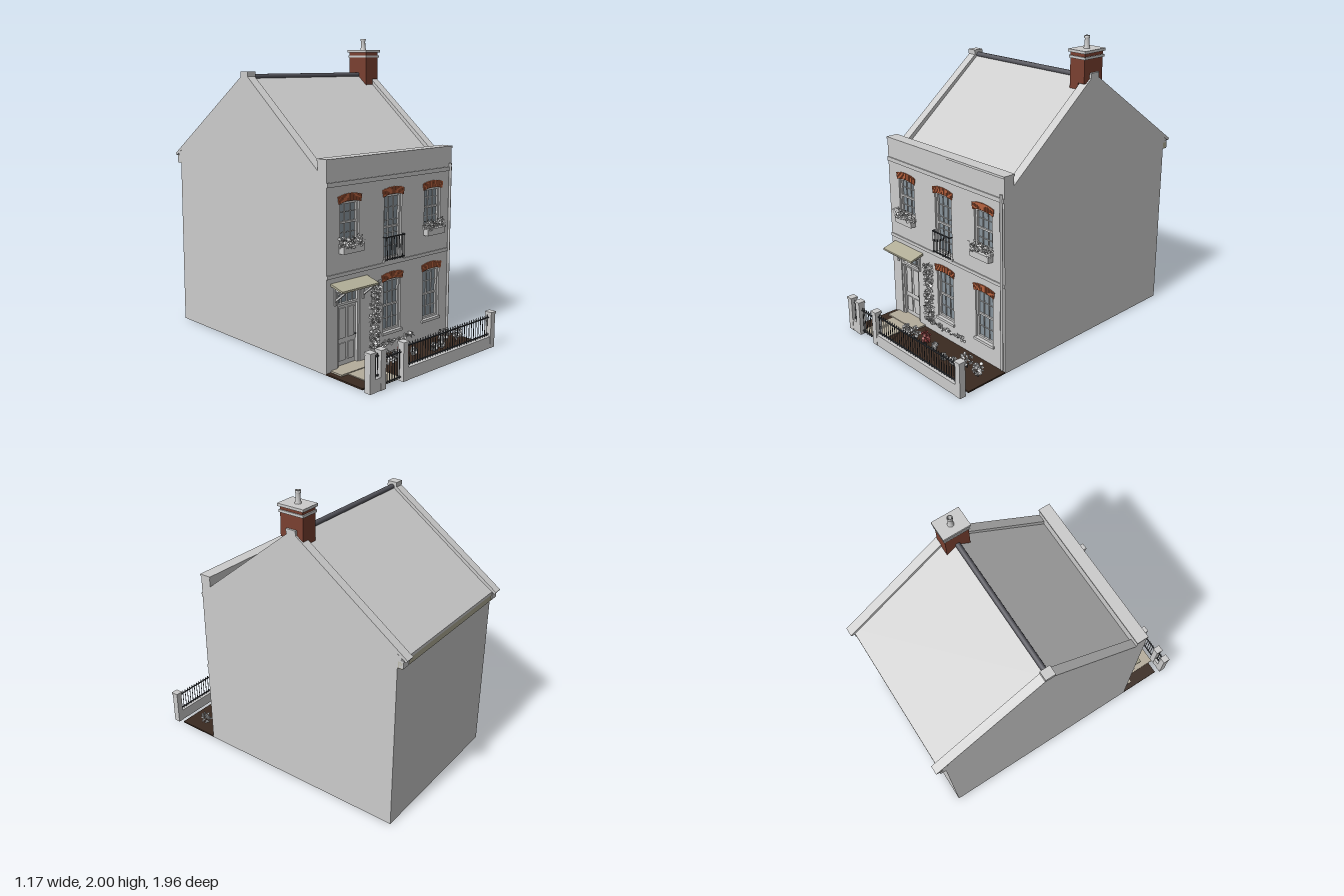
import * as THREE from 'three';
import { mergeGeometries } from 'three/addons/utils/BufferGeometryUtils.js';

const mat = (color, side = THREE.FrontSide) => new THREE.MeshStandardMaterial({ color, side });
const GREY = mat(0xcccccc), LEAF = mat(0xcccccc, THREE.DoubleSide), BRICK = mat(0x7a4030), ARCH = mat(0xb8623f),
  GLASS = mat(0x87939b), SOIL = mat(0x3a2a20), STONE = mat(0xb5ad9c), CANOPY = mat(0xb3af98),
  DARK = mat(0x55555c), IRON = mat(0x3c3f44), RED = mat(0xa84a4a, THREE.DoubleSide), GREEN = mat(0x7f8576);

// small seeded generator
let seed = 7;
const rnd = () => (seed = (seed * 16807) % 2147483647) / 2147483647;
const spread = (a, b) => a + (b - a) * rnd();

function add(parent, name, geo, material = GREY) {
  const m = new THREE.Mesh(geo, material);
  m.name = name;
  parent.add(m);
  return m;
}
// box from its limits
function box(x0, x1, y0, y1, z0, z1) {
  return new THREE.BoxGeometry(x1 - x0, y1 - y0, z1 - z0)
    .translate((x0 + x1) / 2, (y0 + y1) / 2, (z0 + z1) / 2);
}
// side outline of [z, y] points carried from x0 to x1
function sideProfile(pts, x0, x1) {
  const shape = new THREE.Shape(pts.map(p => new THREE.Vector2(p[0], p[1])));
  return new THREE.ExtrudeGeometry(shape, { depth: x1 - x0, bevelEnabled: false })
    .rotateY(-Math.PI / 2).translate(x1, 0, 0);
}
function rod(x, y0, y1, z, r, sides = 6) {
  return new THREE.CylinderGeometry(r, r, y1 - y0, sides).translate(x, (y0 + y1) / 2, z);
}
function rectHole(x0, x1, y0, y1) {
  return new THREE.Path([[x0, y0], [x0, y1], [x1, y1], [x1, y0]].map(p => new THREE.Vector2(...p)));
}
// loose cluster of small leaves inside an ellipsoid or box volume
function leaves(n, cx, cy, cz, rx, ry, rz, size, round = true) {
  const list = [];
  for (let i = 0; i < n; i++) {
    const d = new THREE.Vector3(spread(-1, 1), spread(-1, 1), spread(-1, 1));
    if (round) d.normalize().multiplyScalar(spread(0.6, 1));
    list.push(new THREE.CircleGeometry(size * spread(0.7, 1.2), 5)
      .rotateX(spread(-1, 1)).rotateY(spread(-1.5, 1.5)).rotateZ(spread(0, 6))
      .translate(cx + d.x * rx, cy + d.y * ry, cz + d.z * rz));
  }
  return mergeGeometries(list);
}

const L = -0.565, R = 0.565, FRONT = 0.6, BACK = -0.91;
const DOOR = [-0.475, -0.285, 0.015, 0.485];
const WINDOWS = [ // x centre, bottom, top, pane rows, box below
  { x: -0.378, y0: 0.78, y1: 1.03, rows: 4, planter: true },
  { x: 0.378, y0: 0.78, y1: 1.03, rows: 4, planter: true },
  { x: 0, y0: 0.62, y1: 1.03, rows: 5, balcony: true },
  { x: 0, y0: 0.15, y1: 0.49, rows: 4 },
  { x: 0.378, y0: 0.15, y1: 0.49, rows: 4 },
];
const HALF = 0.08;

function makeShell(g) {
  // front wall pierced for windows and door
  const wall = new THREE.Shape([[L, 0], [R, 0], [R, 1.16], [L, 1.16]].map(p => new THREE.Vector2(...p)));
  for (const w of WINDOWS) wall.holes.push(rectHole(w.x - HALF, w.x + HALF, w.y0, w.y1));
  wall.holes.push(rectHole(...DOOR));
  add(g, 'frontWall', new THREE.ExtrudeGeometry(wall, { depth: 0.03, bevelEnabled: false }).translate(0, 0, FRONT - 0.03));
  add(g, 'backWall', box(L, R, 0, 1.2, BACK, BACK + 0.02));
  const gable = [[FRONT - 0.005, 0], [FRONT - 0.005, 1.16], [0.52, 1.2], [-0.16, 1.755], [-0.94, 1.2], [BACK, 1.17], [BACK, 0]];
  add(g, 'rightGable', sideProfile(gable, L, L + 0.02));
  add(g, 'leftGable', sideProfile(gable, R - 0.02, R));
  // parapet, its coping and the moulded bands
  add(g, 'parapet', box(L, R, 1.15, 1.28, 0.525, FRONT));
  add(g, 'parapetCoping', box(L - 0.003, R + 0.003, 1.278, 1.292, 0.52, FRONT + 0.005));
  add(g, 'cornice', box(L, R, 1.128, 1.155, FRONT - 0.01, FRONT + 0.008));
  add(g, 'stringCourse', box(L, R, 0.585, 0.607, FRONT - 0.01, FRONT + 0.007));
  // roof slopes, ridge and raised verges
  const slopes = [[0.53, 1.18], [-0.16, 1.75], [-0.945, 1.195], [-0.945, 1.175], [-0.16, 1.72], [0.53, 1.15]];
  add(g, 'roof', sideProfile(slopes, L + 0.01, R - 0.01));
  add(g, 'ridge', new THREE.CylinderGeometry(0.018, 0.018, 1.02, 10).rotateZ(Math.PI / 2).translate(0, 1.748, -0.16), DARK);
  const verge = [[0.525, 1.22], [-0.16, 1.775], [-0.975, 1.2], [-0.965, 1.185], [-0.16, 1.73], [0.525, 1.17]];
  for (const s of [-1, 1]) {
    const a = s < 0 ? L : R - 0.06;
    add(g, 'verge', sideProfile(verge, a, a + 0.06));
    add(g, 'ridgeBlock', box(a - 0.002, a + 0.062, 1.75, 1.782, -0.195, -0.125));
    add(g, 'kneeler', box(a, a + 0.06, 1.14, 1.19, -0.95, BACK));
  }
  add(g, 'rearGutter', box(L, R, 1.135, 1.178, -0.945, BACK), CANOPY);
  add(g, 'downpipe', rod(0.545, 0.02, 1.18, FRONT + 0.008, 0.009, 8));
}

function makeChimney() {
  const g = new THREE.Group();
  g.name = 'chimney';
  add(g, 'stack', box(0.437, 0.553, 1.72, 1.91, -0.24, -0.075), BRICK);
  add(g, 'stackFoot', box(0.437, 0.503, 1.67, 1.72, -0.24, -0.075), BRICK);
  add(g, 'chimneyBand', box(0.43, 0.56, 1.868, 1.884, -0.247, -0.068));
  add(g, 'chimneyCap', box(0.425, 0.565, 1.905, 1.922, -0.252, -0.063));
  const pot = [[0.021, 0], [0.016, 0.02], [0.014, 0.06], [0.018, 0.063], [0.018, 0.078], [0.011, 0.078], [0.011, 0.03]];
  add(g, 'chimneyPot', new THREE.LatheGeometry(pot.map(p => new THREE.Vector2(...p)), 14).translate(0.493, 1.922, -0.16));
  add(g, 'potOpening', new THREE.CircleGeometry(0.012, 14).rotateX(-Math.PI / 2).translate(0.493, 1.96, -0.16), IRON);
  return g;
}

function makeWindow(w) {
  const g = new THREE.Group();
  g.name = 'window';
  const h = w.y1 - w.y0, z = FRONT - 0.025;
  add(g, 'glass', box(-HALF, HALF, 0, h, z - 0.004, z), GLASS);
  // sash frame, rails and glazing bars
  const bars = [box(-HALF, -HALF + 0.014, 0, h, z, z + 0.013), box(HALF - 0.014, HALF, 0, h, z, z + 0.013),
    box(-HALF, HALF, 0, 0.016, z, z + 0.013), box(-HALF, HALF, h - 0.014, h, z, z + 0.013),
    box(-HALF, HALF, h / 2 - 0.006, h / 2 + 0.006, z, z + 0.011)];
  for (const x of [-0.024, 0.024]) bars.push(box(x - 0.002, x + 0.002, 0, h, z, z + 0.007));
  for (let i = 1; i < w.rows; i++) bars.push(box(-HALF, HALF, h * i / w.rows - 0.002, h * i / w.rows + 0.002, z, z + 0.006));
  add(g, 'sash', mergeGeometries(bars));
  add(g, 'sill', box(-HALF - 0.01, HALF + 0.01, -0.016, 0.002, FRONT - 0.03, FRONT + 0.012));
  // fanned brick arch
  const bricks = [];
  for (let i = 0; i < 15; i++) {
    const t = i / 7 - 1;
    bricks.push(new THREE.BoxGeometry(0.0105, 0.045, 0.012).rotateZ(-t * 0.17)
      .translate(t * 0.09, h + 0.027 - 0.013 * t * t, FRONT));
  }
  add(g, 'brickArch', mergeGeometries(bricks), ARCH);
  // shallow room behind the glass
  add(g, 'roomFloor', box(-0.17, 0.17, -0.03, -0.02, 0.46, 0.57), SOIL);
  add(g, 'roomBack', box(-0.17, 0.17, -0.02, h, 0.46, 0.465), w.x > 0.1 ? GREEN : GLASS);
  if (w.planter) {
    add(g, 'planter', box(-0.085, 0.085, -0.055, -0.012, FRONT, FRONT + 0.04));
    add(g, 'planterFlowers', leaves(110, 0, 0.012, FRONT + 0.026, 0.092, 0.034, 0.024, 0.009, false), LEAF);
  }
  if (w.balcony) {
    const rails = [box(-0.088, 0.088, 0.145, 0.152, FRONT + 0.018, FRONT + 0.026), box(-0.088, 0.088, 0.005, 0.011, FRONT + 0.018, FRONT + 0.026)];
    for (let i = 0; i <= 11; i++) rails.push(rod(-0.085 + i * 0.17 / 11, 0, 0.15, FRONT + 0.022, 0.002, 5));
    for (const x of [-0.085, 0.085]) rails.push(box(x - 0.003, x + 0.003, 0.145, 0.152, FRONT, FRONT + 0.022));
    add(g, 'balconyRailing', mergeGeometries(rails), IRON);
  }
  g.position.set(w.x, w.y0, 0);
  return g;
}

function makeEntrance() {
  const g = new THREE.Group();
  g.name = 'entrance';
  const [x0, x1, y0, y1] = DOOR, z = FRONT - 0.025;
  add(g, 'door', box(x0, x1, y0, 0.405, z - 0.005, z));
  add(g, 'transomLight', box(x0, x1, 0.405, y1, z - 0.005, z), GLASS);
  const trim = [box(x0, x0 + 0.016, y0, y1, z, z + 0.018), box(x1 - 0.016, x1, y0, y1, z, z + 0.018),
    box(x0, x1, y1 - 0.014, y1, z, z + 0.018), box(x0, x1, 0.4, 0.415, z, z + 0.018)];
  for (let i = 1; i < 4; i++) trim.push(box(x0 + i * 0.0475 - 0.002, x0 + i * 0.0475 + 0.002, 0.41, y1, z, z + 0.008));
  for (const x of [-0.417, -0.343]) for (const [a, b] of [[0.05, 0.16], [0.19, 0.38]])
    trim.push(box(x - 0.026, x + 0.026, a, b, z, z + 0.006));
  add(g, 'doorTrim', mergeGeometries(trim));
  add(g, 'doorKnob', new THREE.SphereGeometry(0.007, 10, 8).translate(-0.31, 0.2, z + 0.008), IRON);
  // sloping canopy on braced brackets
  add(g, 'canopy', sideProfile([[0.6, 0.54], [0.702, 0.515], [0.702, 0.527], [0.6, 0.555]], -0.532, -0.226), CANOPY);
  for (const x of [-0.497, -0.263]) {
    add(g, 'bracketBrace', sideProfile([[0.6, 0.432], [0.685, 0.5], [0.685, 0.515], [0.6, 0.447]], x - 0.006, x + 0.006));
    add(g, 'bracketPost', box(x - 0.007, x + 0.007, 0.415, 0.54, FRONT, FRONT + 0.01));
    add(g, 'bracketArm', box(x - 0.006, x + 0.006, 0.505, 0.517, FRONT, 0.69));
  }
  add(g, 'doorstep', box(-0.53, -0.23, 0, 0.02, 0.575, 0.692), STONE);
  add(g, 'path', box(-0.475, -0.285, 0, 0.015, 0.692, 0.93), STONE);
  return g;
}

function makeGarden() {
  const g = new THREE.Group();
  g.name = 'frontGarden';
  add(g, 'soilBed', box(L, R, 0, 0.01, FRONT - 0.005, 0.9), SOIL);
  // climbing plant on the wall, trailing along its foot
  add(g, 'climber', leaves(300, -0.162, 0.29, FRONT + 0.012, 0.042, 0.215, 0.013, 0.011, false), LEAF);
  add(g, 'climberTrail', leaves(90, 0.0, 0.085, FRONT + 0.012, 0.2, 0.015, 0.012, 0.009, false), LEAF);
  const plants = [[-0.225, 0.76, 0.03], [-0.145, 0.75, 0.035], [-0.05, 0.74, 0.035, RED], [0.055, 0.745, 0.02],
    [0.2, 0.79, 0.022], [0.28, 0.78, 0.022], [0.36, 0.735, 0.042], [0.48, 0.75, 0.036]];
  for (const [x, z, r, m] of plants) {
    add(g, 'plantStem', rod(x, 0, 0.04, z, 0.003), IRON);
    add(g, 'plant', leaves(60, x, 0.015 + r * 1.25, z, r, r * 1.2, r, 0.011), m || LEAF);
  }
  // low boundary wall, capped piers and iron railings
  add(g, 'boundaryWall', box(-0.565, -0.47, 0, 0.078, 0.935, 0.975));
  add(g, 'boundaryWall', box(-0.28, 0.56, 0, 0.078, 0.935, 0.975));
  for (const x of [-0.56, -0.472, -0.283, 0.558]) {
    add(g, 'pier', box(x - 0.021, x + 0.021, 0, 0.228, 0.933, 0.977));
    add(g, 'pierCap', box(x - 0.025, x + 0.025, 0.225, 0.24, 0.929, 0.981));
  }
  const railing = (name, x0, x1, y0, y1, n) => {
    const parts = [y0 + 0.012, y1 - 0.022].map(y => box(x0, x1, y - 0.003, y + 0.003, 0.951, 0.959));
    for (let i = 0; i < n; i++) {
      const x = x0 + (i + 0.5) * (x1 - x0) / n;
      parts.push(rod(x, y0, y1 - 0.012, 0.955, 0.0025, 5), new THREE.ConeGeometry(0.005, 0.014, 5).translate(x, y1 - 0.006, 0.955));
    }
    add(g, name, mergeGeometries(parts), IRON);
  };
  railing('railing', -0.54, -0.493, 0.078, 0.225, 3);
  railing('railing', -0.262, 0.537, 0.078, 0.225, 34);
  railing('gate', -0.45, -0.305, 0.015, 0.2, 7);
  return g;
}

export function createModel() {
  const model = new THREE.Group();
  model.name = 'townHouse';
  makeShell(model);
  model.add(makeChimney(), makeEntrance(), makeGarden());
  for (const w of WINDOWS) model.add(makeWindow(w));
  return model;
}
